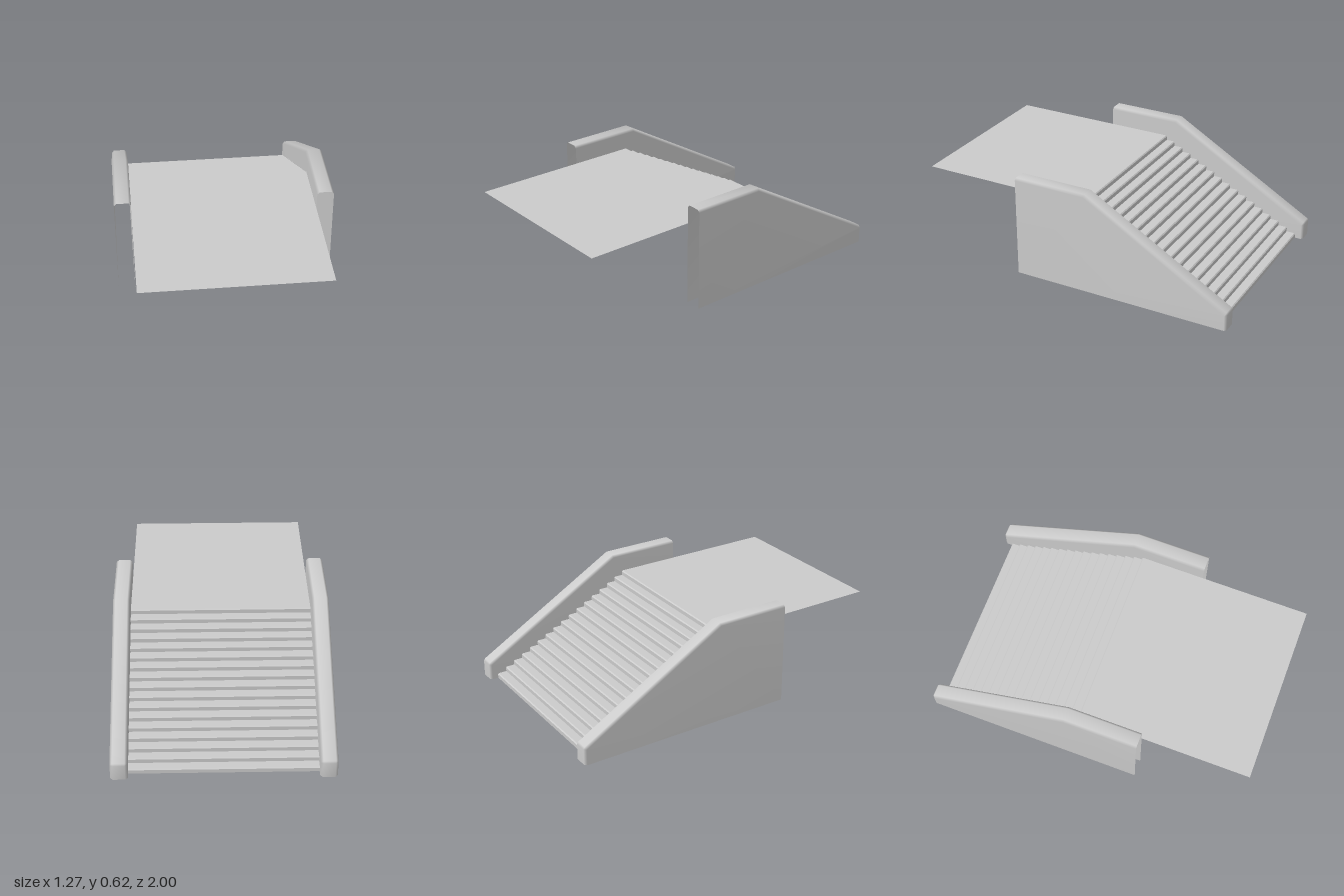
import * as THREE from 'three';

const material = new THREE.MeshStandardMaterial({ color: 0xcccccc, side: THREE.DoubleSide });

const STEPS = 17, STAIR_BACK = -0.95, STAIR_FRONT = -0.05, TOP = 0.505, HALF = 0.538;

function buildGeometry(positions, index) {
  const g = new THREE.BufferGeometry();
  g.setAttribute('position', new THREE.Float32BufferAttribute(positions, 3));
  g.setIndex(index);
  return g;
}

// Shift a [z, y] path inwards by c, keeping the corners mitred
function insetPath(path, c) {
  const normals = path.slice(1).map(([z, y], i) => {
    const dz = z - path[i][0], dy = y - path[i][1], l = Math.hypot(dz, dy);
    return [dy / l, -dz / l];
  });
  return path.map(([z, y], i) => {
    const a = normals[Math.max(i - 1, 0)], b = normals[Math.min(i, normals.length - 1)];
    const k = c / (1 + a[0] * b[0] + a[1] * b[1]);
    return [z - k * (a[0] + b[0]), y - k * (a[1] + b[1])];
  });
}

// Hollow side wall: sloping top with softened edges, open at the front and underneath
function wallGeometry() {
  const w = 0.049, c = 0.014;
  const outer = [[0.34, 0.62], [-0.11, 0.62], [-0.993, 0.109], [-1, 0.097], [-1, 0]];
  const inner = insetPath(outer, c);
  const pos = [], index = [];
  outer.forEach(([z, y], i) => {
    const [iz, iy] = inner[i];
    pos.push(w, iy, iz, w - c, y, z, c - w, y, z, -w, iy, iz);
  });
  const left = outer.length * 4, right = left + 1;
  pos.push(w, 0, 0.34, -w, 0, 0.34);
  for (let i = 0; i < outer.length - 1; i++) {
    const r = i * 4, n = r + 4;
    for (let j = 0; j < 3; j++) {
      index.push(r + j, n + j, r + j + 1, r + j + 1, n + j, n + j + 1);
    }
    index.push(left, n, r, right, r + 3, n + 3);
  }
  const g = buildGeometry(pos, index);
  g.computeVertexNormals(); // area weighted, so only the narrow edges look rounded
  return g;
}

// Thin folded sheet of risers and treads with a small bevel on each nosing
function stairGeometry() {
  const rise = TOP / STEPS, run = (STAIR_FRONT - STAIR_BACK) / (STEPS - 1), b = 0.006;
  const profile = [[STAIR_BACK, 0]];
  for (let i = 0; i < STEPS; i++) {
    const z = STAIR_BACK + i * run, y = (i + 1) * rise;
    profile.push([z, y - b], [z + b, y]);
    if (i < STEPS - 1) profile.push([z + run, y]);
  }
  const pos = [], index = [];
  profile.forEach(([z, y], i) => {
    pos.push(-HALF, y, z, HALF, y, z);
    if (i) {
      const a = 2 * i - 2;
      index.push(a, a + 2, a + 1, a + 1, a + 2, a + 3);
    }
  });
  const g = buildGeometry(pos, index).toNonIndexed();
  g.computeVertexNormals();
  return g;
}

export function createModel() {
  const group = new THREE.Group();
  const add = (name, geometry, x = 0, y = 0, z = 0) => {
    const mesh = new THREE.Mesh(geometry, material);
    mesh.name = name;
    mesh.position.set(x, y, z);
    group.add(mesh);
  };

  // Side walls
  const wall = wallGeometry();
  add('leftWall', wall, 0.587);
  add('rightWall', wall, -0.587);

  // Steps climbing from the back
  add('stairs', stairGeometry());

  // Flat landing in front of the top step
  const start = STAIR_FRONT + 0.006, depth = 1 - start;
  const landing = new THREE.PlaneGeometry(HALF * 2, depth).rotateX(-Math.PI / 2);
  add('landing', landing, 0, TOP, start + depth / 2);

  return group;
}
